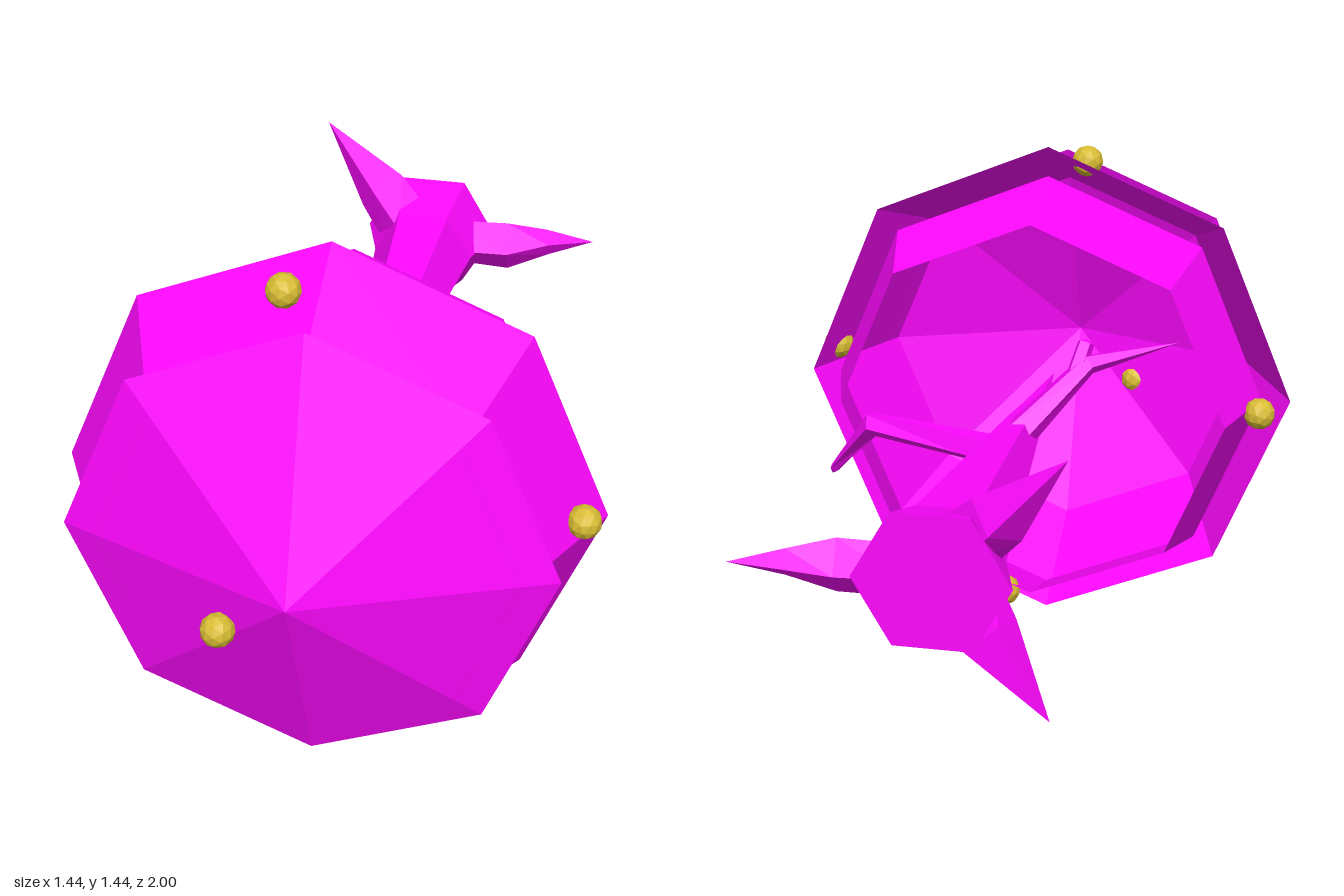
import * as THREE from 'three';

const CY = 0.72; // height of the central axis, which runs along z
const UP = new THREE.Vector3(0, 1, 0);

const makeMaterial = (color) =>
  new THREE.MeshStandardMaterial({ color, flatShading: true, side: THREE.DoubleSide });

// Shell of revolution around the z axis; profile is a list of [radius, z]
function revolve(profile, sides, start = 0) {
  const points = profile.map(([r, z]) => new THREE.Vector2(r, z));
  const geometry = new THREE.LatheGeometry(points, sides, start);
  geometry.rotateX(Math.PI / 2);
  geometry.translate(0, CY, 0);
  return geometry;
}

// Faceted tapering limb; stations are [x, y, z, radius] from root to tip
function limb(stations, sides = 5) {
  const list = stations.slice().reverse();
  const centres = list.map(([x, y, z]) => new THREE.Vector3(x, y, z));
  const geometry = new THREE.CylinderGeometry(1, 1, 1, sides, list.length - 1, true);
  const pos = geometry.attributes.position;
  const v = new THREE.Vector3();
  const turn = new THREE.Quaternion();
  list.forEach((station, row) => {
    const ahead = centres[Math.max(row - 1, 0)];
    const behind = centres[Math.min(row + 1, list.length - 1)];
    turn.setFromUnitVectors(UP, ahead.clone().sub(behind).normalize());
    for (let i = 0; i <= sides; i++) {
      const k = row * (sides + 1) + i;
      v.fromBufferAttribute(pos, k).setY(0).multiplyScalar(station[3]);
      v.applyQuaternion(turn).add(centres[row]);
      pos.setXYZ(k, v.x, v.y, Math.max(v.z, -1));
    }
  });
  geometry.computeVertexNormals();
  return geometry;
}

export function createModel() {
  const group = new THREE.Group();
  const magenta = makeMaterial(0xff08ff);
  const gold = makeMaterial(0xd8bc34);

  const add = (name, geometry, material = magenta) => {
    const mesh = new THREE.Mesh(geometry, material);
    mesh.name = name;
    group.add(mesh);
    return mesh;
  };

  // Three octagonal foliage tiers: open, hollow shells
  add('topTier', revolve([[0.64, 0.75], [0, 1]], 8));
  add('middleTier', revolve([[0.72, 0.44], [0.565, 0.75], [0.546, 0.787]], 8));
  add('lowerTier', revolve([[0.56, 0.18], [0.635, 0.44]], 8));

  // Trunk with a flared foot, tapering to a point inside the foliage
  add('trunk', revolve(
    [[0, -1], [0.2, -1], [0.15, -0.84], [0.062, 0], [0.04, 0.18], [0, 0.55]], 6, Math.PI / 6));

  // Three pointed roots: one knobbly, two plain
  add('root', limb([
    [0.06, CY, -0.94, 0.07], [0.25, CY, -0.94, 0.075],
    [0.37, CY + 0.01, -0.97, 0.04], [0.51, CY + 0.01, -1, 0],
  ], 4));
  for (const [x, y] of [[-0.33, 0.34], [-0.29, -0.34]]) {
    add('root', limb([
      [x * 0.15, CY + y * 0.15, -0.88, 0.09],
      [x * 0.45, CY + y * 0.45, -0.94, 0.08],
      [x, CY + y, -1, 0],
    ], 4));
  }

  // Bent branches
  add('longBranch', limb([
    [0, 0.72, -0.14, 0.05], [0.12, 0.725, -0.1, 0.042],
    [0.41, 0.73, -0.01, 0.035], [0.57, 0.53, 0.13, 0.014], [0.58, 0.51, 0.14, 0],
  ]));
  add('shortBranch', limb([
    [0, 0.73, -0.05, 0.05], [-0.18, 0.91, 0.11, 0.03], [-0.42, 0.95, 0.23, 0],
  ]));
  add('branchStub', limb([
    [-0.15, 0.89, 0.09, 0.027], [-0.17, 0.965, 0.13, 0.024], [-0.172, 0.975, 0.133, 0],
  ]));

  // Golden baubles
  const baubles = [
    [-0.09, 1.37, 0.58], [0.67, 0.77, 0.55], [-0.19, 0.585, 0.935],
    [0.08, 0.15, 0.21], [-0.64, 0.71, 0.35],
  ];
  baubles.forEach(([x, y, z], i) => {
    const ball = add('bauble', new THREE.IcosahedronGeometry(0.046, 1), gold);
    ball.position.set(x, y, z);
    ball.rotation.set(i * 0.7, i * 1.3, 0);
  });

  return group;
}
